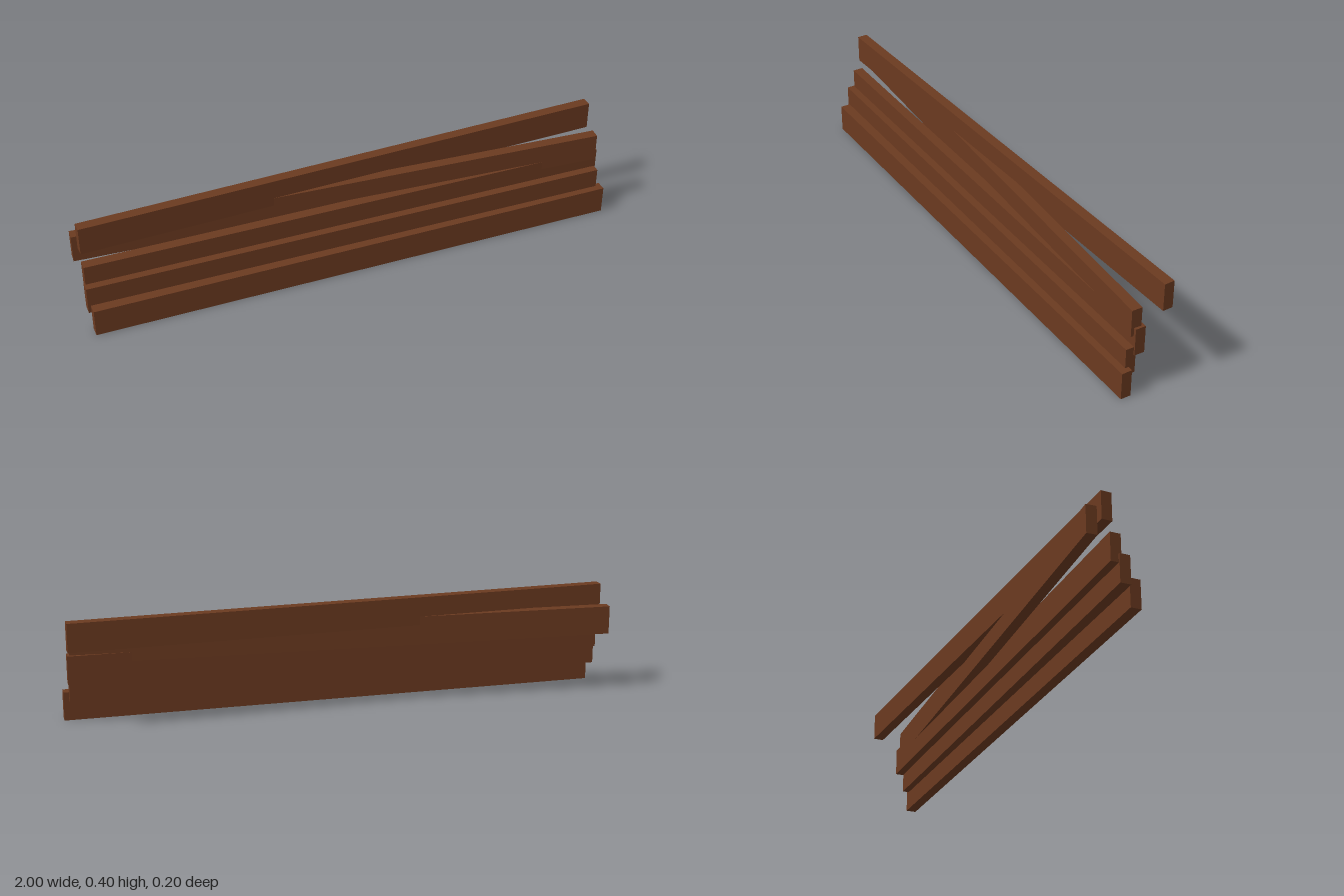
import * as THREE from 'three';

// Each plank: left and right end x, z of its centre line at those ends, bottom y
const PLANKS = [
  { x: [-0.98, 1.0], z: [0.083, 0.07], y: 0 },
  { x: [-0.99, 0.98], z: [0.045, 0.045], y: 0.074 },
  { x: [-0.985, 0.985], z: [0.017, 0.015], y: 0.147 },
  { x: [-1.0, 0.975], z: [-0.072, 0.026], y: 0.219 },
  { x: [-0.985, 0.99], z: [-0.01, -0.083], y: 0.291 },
];
const HEIGHT = 0.104;
const THICKNESS = 0.038;

export function createModel() {
  const group = new THREE.Group();
  group.name = 'plankStack';
  const wood = new THREE.MeshStandardMaterial({ color: 0x6b3a20 });
  wood.name = 'brown wood';

  // Overlapping boards, each yawed slightly about the vertical axis
  PLANKS.forEach(({ x, z, y }, i) => {
    const dx = x[1] - x[0];
    const dz = z[1] - z[0];
    const plank = new THREE.Mesh(
      new THREE.BoxGeometry(Math.hypot(dx, dz), HEIGHT, THICKNESS),
      wood
    );
    plank.name = `plank${i + 1}`;
    plank.position.set((x[0] + x[1]) / 2, y + HEIGHT / 2, (z[0] + z[1]) / 2);
    plank.rotation.y = -Math.atan2(dz, dx);
    group.add(plank);
  });

  return group;
}
